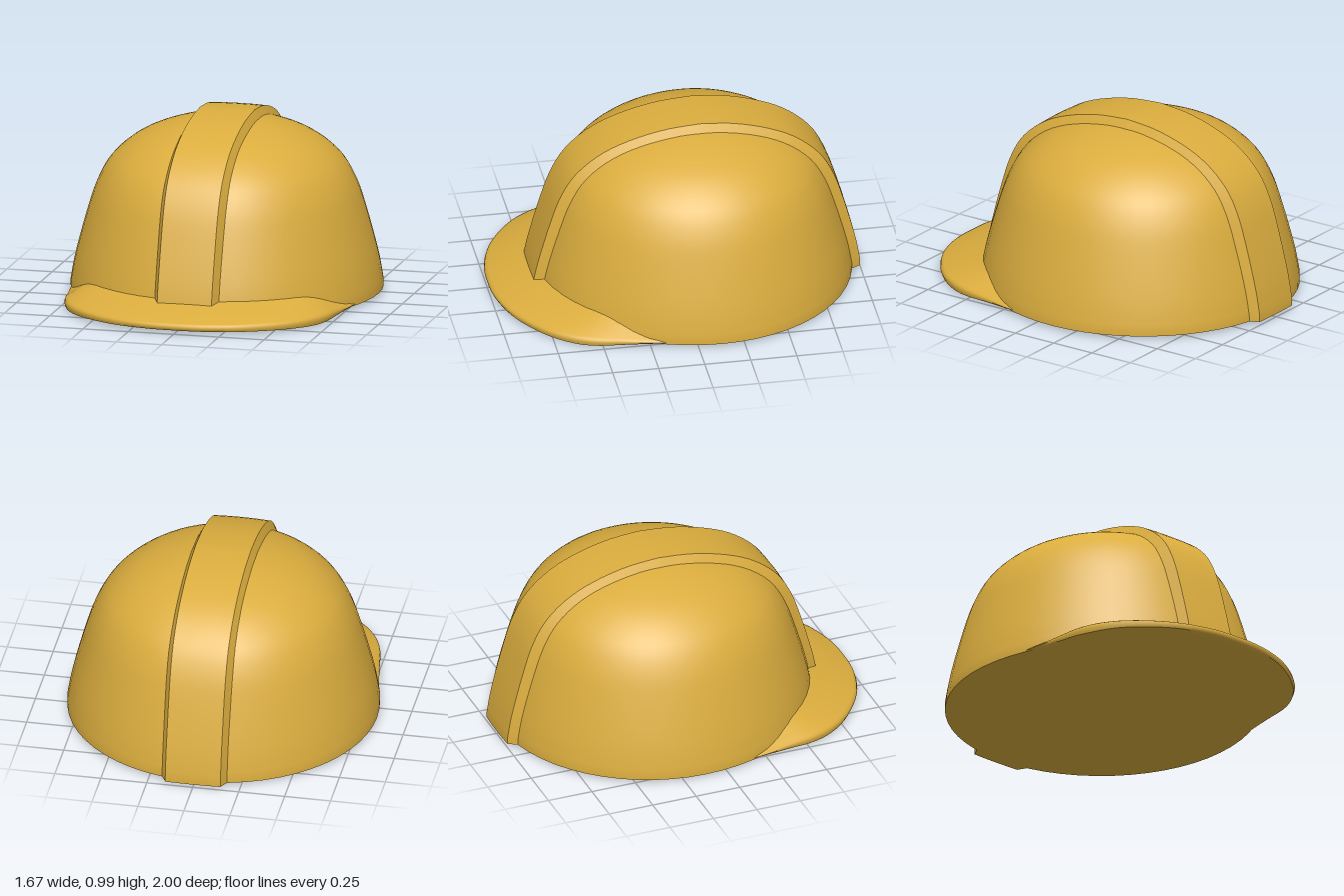
import * as THREE from 'three';
import { toCreasedNormals } from 'three/addons/utils/BufferGeometryUtils.js';

const CZ = -0.13;                       // z of the widest line of the dome
const RX = 0.835, FRONT = 0.885, BACK = 0.837;

// Dome outline: relative radius and height, rim to crown
const outline = new THREE.SplineCurve([
  [1, 0.05], [0.967, 0.2], [0.887, 0.45], [0.825, 0.6], [0.74, 0.72],
  [0.6, 0.822], [0.43, 0.89], [0.215, 0.938], [0, 0.955],
].map(([r, y]) => new THREE.Vector2(r, y))).getPoints(28);

// Surface from a grid of points: rows of equal length
function gridGeometry(rows, crease = 0.6) {
  const n = rows[0].length, index = [];
  for (let i = 0; i < rows.length - 1; i++) {
    for (let j = 0; j < n - 1; j++) {
      const a = i * n + j, b = a + 1, c = b + n, d = a + n;
      index.push(a, b, d, b, c, d);
    }
  }
  const g = new THREE.BufferGeometry();
  g.setAttribute('position', new THREE.Float32BufferAttribute(rows.flat(2), 3));
  g.setIndex(index);
  return toCreasedNormals(g, crease);
}

// Oval dome with a closed underside
function domeGeometry() {
  const base = [[0, 0.012], [0.96, 0.012], [1.0, 0.018]].map(([r, y]) => new THREE.Vector2(r, y));
  const g = new THREE.LatheGeometry([...base, ...outline], 56);
  const p = g.attributes.position;
  for (let i = 0; i < p.count; i++) {
    const z = p.getZ(i);
    p.setX(i, p.getX(i) * RX);
    p.setZ(i, CZ + z * (z > 0 ? FRONT : BACK));
  }
  return toCreasedNormals(g, 0.6);
}

// Raised band running over the crown from front to back
function ridgeGeometry() {
  const front = outline.map((p) => new THREE.Vector2(CZ + p.x * FRONT, p.y));
  const back = outline.slice(0, -1).reverse().map((p) => new THREE.Vector2(CZ - p.x * BACK, p.y));
  const path = [...front, ...back, new THREE.Vector2(CZ - BACK, 0.018)];
  const section = [[-0.185, -0.035], [-0.15, 0.03], [-0.075, 0.033], [0, 0.034],
    [0.075, 0.033], [0.15, 0.03], [0.185, -0.035]];
  const last = path.length - 1;
  const rows = path.map((p, i) => {
    const t = path[Math.min(i + 1, last)].clone().sub(path[Math.max(i - 1, 0)]).normalize();
    return section.map(([x, off]) => [x, p.y - t.x * off, p.x + t.y * off]);
  });
  // Close both ends by folding them into the dome
  const fold = (row, dz) => row.map(([x, y, z]) => [x, y, CZ + (z - CZ) * dz]);
  return gridGeometry([fold(rows[0], 0.9), ...rows, fold(rows[last], 0.9)]);
}

// Peak that grows out of the front of the rim
function brimGeometry() {
  const half = [[0.795, 0.08], [0.782, 0.2], [0.768, 0.28], [0.745, 0.42], [0.73, 0.52],
    [0.68, 0.65], [0.58, 0.78], [0.37, 0.925], [0.16, 0.99]];
  const pts = [...half.map(([x, z]) => [-x, z]), [0, 1], ...half.slice().reverse()];
  const curve = new THREE.CatmullRomCurve3(pts.map(([x, z]) => new THREE.Vector3(x, 0, z)));
  const rows = curve.getSpacedPoints(56).map(({ x, z }) => {
    const k = 1 / Math.hypot(x / RX, (z - CZ) / FRONT);   // scale back to the dome wall
    const s = THREE.MathUtils.smoothstep(z, 0.08, 0.65);
    const at = (f, y) => [x * f, y, CZ + (z - CZ) * f];
    const top = 0.035 + 0.095 * s, edge = 0.035 + 0.022 * s;
    const low = 0.035 * Math.abs(z - 0.6);
    const inner = Math.min(k * 0.97, 0.97);
    return [
      at(inner, top),
      at((inner + 0.98) / 2, (top + edge) / 2),
      at(0.982, edge),
      at(0.996, edge - 0.008),
      at(1, (edge + low) / 2),
      at(0.992, low + 0.006),
      at(0.96, low),
      at(inner * 0.75, 0.014),
    ];
  });
  return gridGeometry(rows, 0.9);
}

export function createModel() {
  const group = new THREE.Group();
  group.name = 'hardHat';
  const yellow = new THREE.MeshStandardMaterial({ color: 0xdbad3e });
  yellow.name = 'safetyYellow';
  const add = (name, geometry) => {
    const mesh = new THREE.Mesh(geometry, yellow);
    mesh.name = name;
    group.add(mesh);
  };
  add('dome', domeGeometry());
  add('crownRidge', ridgeGeometry());
  add('brim', brimGeometry());
  return group;
}
